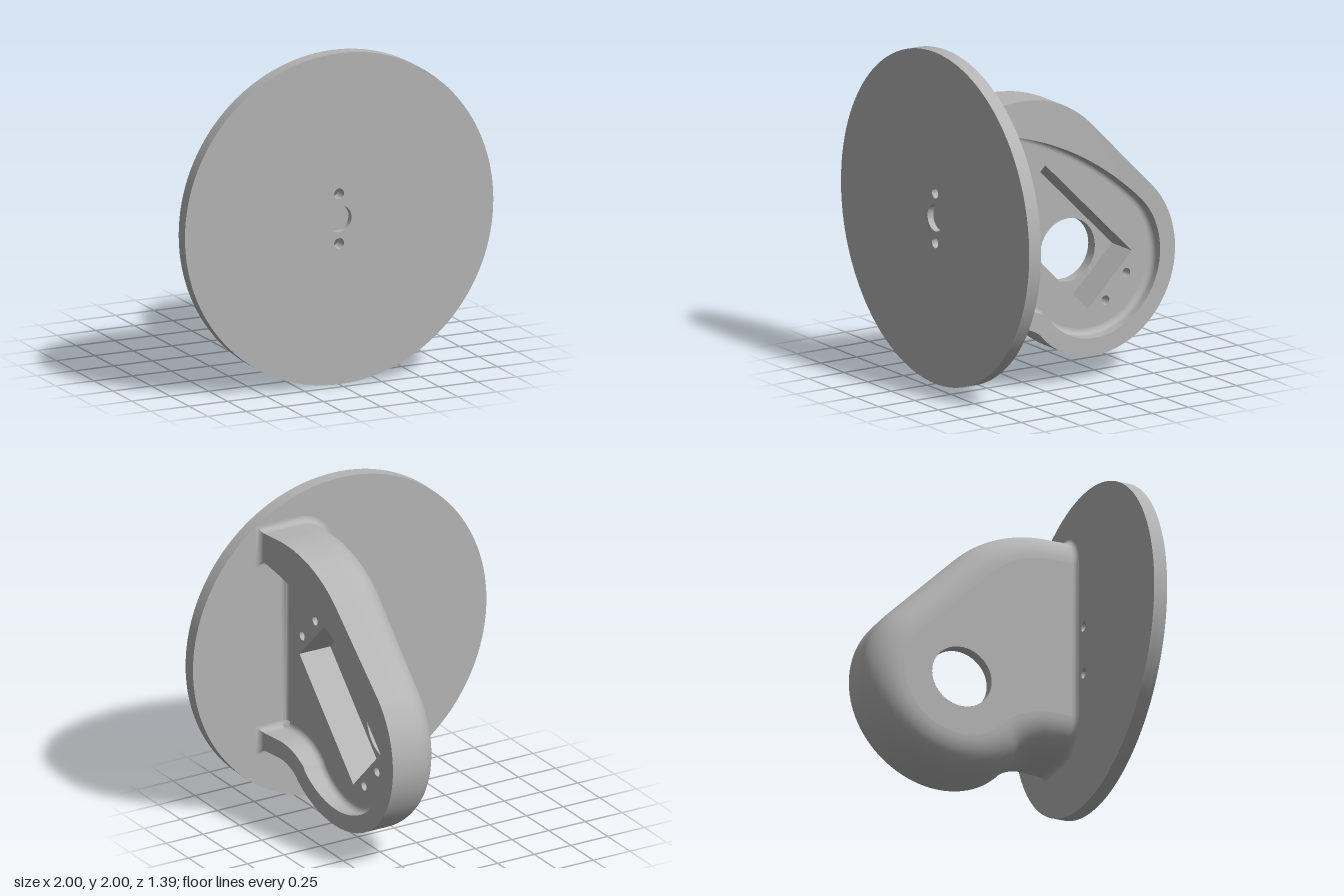
import * as THREE from 'three';
import { toCreasedNormals } from 'three/addons/utils/BufferGeometryUtils.js';

const V = (x, y) => new THREE.Vector2(x, y);

// Skin between rows of [x, y, z] points of equal length
function loft(rows, closed = false) {
  const n = rows[0].length, index = [];
  for (let r = 0; r < rows.length - 1; r++) {
    for (let i = 0; i < (closed ? n : n - 1); i++) {
      const j = (i + 1) % n, a = r * n + i, b = r * n + j, c = a + n, d = b + n;
      index.push(a, c, b, b, c, d);
    }
  }
  const g = new THREE.BufferGeometry();
  g.setAttribute('position', new THREE.Float32BufferAttribute(rows.flat(2), 3));
  g.setIndex(index);
  g.computeVertexNormals();
  return g;
}

function arc(cx, cy, r, from, to, n) {
  return Array.from({ length: n + 1 }, (_, i) => {
    const a = THREE.MathUtils.degToRad(from + (to - from) * i / n);
    return V(cx + r * Math.cos(a), cy + r * Math.sin(a));
  });
}

// Shift an open path along its outward normals
function offset(path, d) {
  const last = path.length - 1;
  return path.map((p, i) => {
    if (i === 0) return V(p.x, p.y + d);
    if (i === last) return V(p.x, p.y - d);
    const t = path[i + 1].clone().sub(path[i - 1]).normalize();
    return V(p.x - t.y * d, p.y + t.x * d);
  });
}

function circleHole(x, y, r) {
  return new THREE.Path().absarc(x, y, r, 0, Math.PI * 2, true);
}

export function createModel() {
  const grey = new THREE.MeshStandardMaterial({ color: 0xb4b4b4, side: THREE.DoubleSide });
  grey.name = 'grey';
  const model = new THREE.Group();
  model.name = 'discBracket';
  const add = (parent, name, geometry) => {
    const m = new THREE.Mesh(geometry, grey);
    m.name = name;
    parent.add(m);
    return m;
  };

  // Round mounting disc in two layers, the front one with a shallow centre recess
  const discLayer = (name, z, depth, recess) => {
    const s = new THREE.Shape().absarc(0, 0, 1, 0, Math.PI * 2, false);
    s.holes.push(circleHole(0, 0.15, 0.032), circleHole(0, -0.15, 0.032));
    if (recess) s.holes.push(circleHole(0, 0, 0.08));
    const g = new THREE.ExtrudeGeometry(s, { depth, bevelEnabled: false, curveSegments: 64 });
    add(model, name, toCreasedNormals(g, 0.6)).position.set(0, 1, z);
  };
  discLayer('discBack', 0.612, 0.043, false);
  discLayer('discFront', 0.655, 0.04, true);

  // Bracket, drawn in its side plane: local x runs to the back, local z is depth
  const bracket = new THREE.Group();
  bracket.name = 'bracket';
  bracket.rotation.y = Math.PI / 2;
  model.add(bracket);

  const BACK = 0.08, FLOOR = 0.36, POCKET = 0.15, ROUND = 0.2, FOOT = -0.575, FILLET = 0.037;
  const C = V(0.13, 0.72);
  const rimDepth = u => 0.43 + 0.11 * Math.pow(Math.max(0, (0.7 - u) / 1.3), 1.7);
  const at = (path, w) => path.map(p => [p.x, p.y, typeof w === 'function' ? w(p.x) : w]);

  const outer = [
    V(FOOT, 1.78),
    ...arc(-0.45, 1.01, 0.77, 90, 45, 16),
    ...arc(C.x, C.y, 0.565, 45, -135, 48),
    ...arc(-0.45, 0.145, 0.255, 45, 90, 12).slice(1),
    V(FOOT, 0.4),
  ];
  const inner = [
    ...new THREE.QuadraticBezierCurve(V(FOOT, 1.585), V(0.02, 1.45), V(0.448, 1.038)).getPoints(18).slice(0, -1),
    ...arc(C.x, C.y, 0.45, 45, -135, 48),
    ...arc(-0.45, 0.145, 0.375, 45, 90, 12).slice(1),
    V(FOOT, 0.52),
  ];

  // Outer wall with its large rounded edge
  const wallRows = [];
  for (let k = 0; k <= 10; k++) {
    const a = k / 10 * Math.PI / 2;
    wallRows.push(at(offset(outer, ROUND * (Math.sin(a) - 1)), BACK + ROUND * (1 - Math.cos(a))));
  }
  wallRows.push(at(outer, 0.32), at(outer, rimDepth));
  add(bracket, 'outerWall', loft(wallRows));

  // Sloping rim and the filleted inner wall
  const lip = offset(inner, 0.01);
  add(bracket, 'rim', loft([at(outer, rimDepth), at(lip, rimDepth)]));
  const innerRows = [at(lip, rimDepth)];
  for (let k = 0; k <= 6; k++) {
    const a = k / 6 * Math.PI / 2;
    innerRows.push(at(offset(inner, 0.01 - 0.035 * (1 - Math.cos(a))), FLOOR + 0.035 * (1 - Math.sin(a))));
  }
  add(bracket, 'innerWall', loft(innerRows));

  // Flat closed side with the large round opening
  const side = new THREE.Shape(offset(outer, -ROUND));
  side.holes.push(circleHole(C.x, C.y, 0.19));
  add(bracket, 'closedSide', new THREE.ShapeGeometry(side, 48)).position.z = BACK;

  // Cavity floor with the tilted pocket and four screw holes
  const mid = V(-0.015, 0.865), h = Math.SQRT1_2;
  const pocket = [[-0.427, 0.217], [0.427, 0.217], [0.427, -0.217], [-0.427, -0.217]]
    .map(([l, s]) => V(mid.x + (l + s) * h, mid.y + (s - l) * h));
  const screws = [[-0.295, 1.29], [-0.44, 1.14], [0.4, 0.59], [0.255, 0.445]];
  const floor = new THREE.Shape(offset(inner, -0.025));
  floor.holes.push(new THREE.Path(pocket), ...screws.map(([x, y]) => circleHole(x, y, 0.028)));
  add(bracket, 'cavityFloor', new THREE.ShapeGeometry(floor, 24)).position.z = FLOOR;

  const bore = (name, x, y, r, from, to) => {
    const g = new THREE.CylinderGeometry(r, r, to - from, 48, 1, true).rotateX(Math.PI / 2);
    add(bracket, name, g).position.set(x, y, (from + to) / 2);
  };
  for (const [x, y] of screws) {
    bore('screwHole', x, y, 0.028, FLOOR - 0.12, FLOOR);
    add(bracket, 'screwHoleEnd', new THREE.CircleGeometry(0.028, 24)).position.set(x, y, FLOOR - 0.12);
  }
  add(bracket, 'pocketWalls', toCreasedNormals(loft([at(pocket, FLOOR), at(pocket, POCKET)], true), 0.5));
  const pocketFloor = new THREE.Shape(pocket);
  pocketFloor.holes.push(circleHole(C.x, C.y, 0.19));
  add(bracket, 'pocketFloor', new THREE.ShapeGeometry(pocketFloor, 48)).position.z = POCKET;
  bore('roundOpening', C.x, C.y, 0.19, BACK, POCKET);

  // Flared fillet where the bracket meets the disc: [y, depth, normal y, normal depth]
  const rim = rimDepth(FOOT), section = [[1.78, rim, 1, 1]];
  const corner = (y, s) => Array.from({ length: 9 }, (_, k) => {
    const a = k / 8 * Math.PI / 2, c = Math.cos(a), d = Math.sin(a);
    return [y + s * ROUND * c, BACK + ROUND * (1 - d), s * c, -d];
  });
  section.push(...corner(1.58, 1), ...corner(0.6, -1).reverse(), [0.4, rim, -1, 1],
    [0.51, rim, 1, 1], [0.51, 0.395, 1, 0], [0.545, FLOOR, 0, 1],
    [1.56, FLOOR, 0, 1], [1.595, 0.395, -1, 0], [1.595, rim, -1, 1]);
  const footRows = [];
  for (let k = 0; k <= 6; k++) {
    const a = k / 6 * Math.PI / 2, f = FILLET * (1 - Math.cos(a));
    footRows.push(section.map(([y, w, ny, nw]) => [FOOT - FILLET * Math.sin(a), y + ny * f, w + nw * f]));
  }
  add(bracket, 'footFillet', toCreasedNormals(loft(footRows, true), 0.6));

  return model;
}
